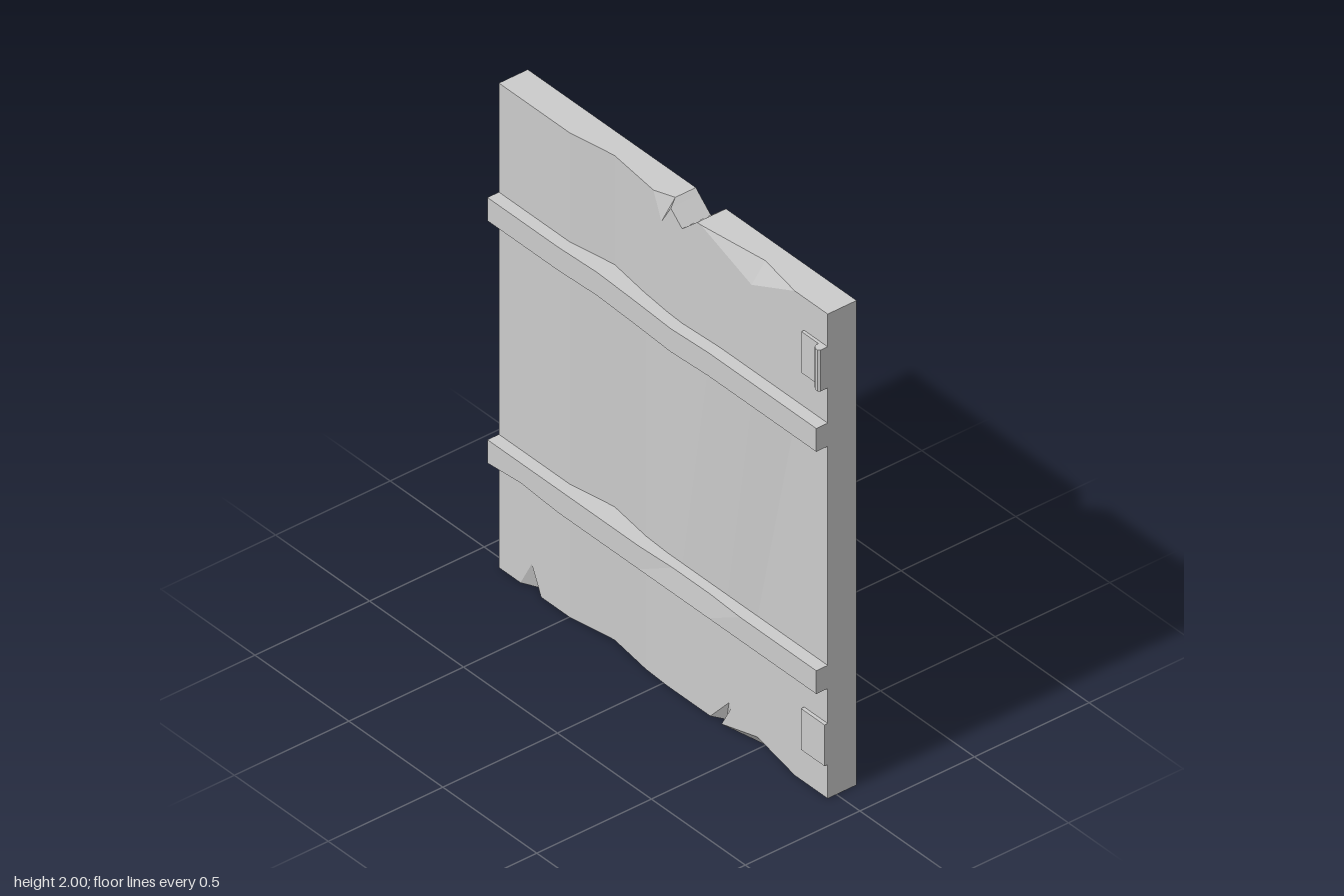
import * as THREE from 'three';

const material = new THREE.MeshStandardMaterial({ color: 0xcccccc, flatShading: true, side: THREE.DoubleSide });
const FRONT = 0.038, BACK = -0.088;

// Joins closed sections (lists of [x, y, z]) from -x to +x and caps both ends.
function loft(sections) {
  const pos = [];
  const tri = (...p) => p.forEach((v) => pos.push(...v));
  const n = sections[0].length;
  for (let i = 0; i < sections.length - 1; i++) {
    for (let j = 0; j < n; j++) {
      const k = (j + 1) % n;
      const a = sections[i][j], b = sections[i][k];
      const c = sections[i + 1][k], d = sections[i + 1][j];
      tri(a, d, c);
      tri(a, c, b);
    }
  }
  const first = sections[0], last = sections[sections.length - 1];
  for (let j = 1; j < n - 1; j++) {
    tri(first[0], first[j], first[j + 1]);
    tri(last[0], last[j + 1], last[j]);
  }
  const geo = new THREE.BufferGeometry();
  geo.setAttribute('position', new THREE.Float32BufferAttribute(pos, 3));
  geo.computeVertexNormals();
  return geo;
}

// Worn slab: each column has its mid x, plus chips at the bottom and top edges.
// chip = { tip: [x, y], depth }; dent pushes the full column back, bulge forward.
const columns = [
  { x: -0.875 },
  { x: -0.76 },
  { x: -0.7, low: { tip: [-0.7, 0.11], depth: 0.03 } },
  { x: -0.65 },
  { x: -0.5 },
  { x: -0.3, dent: 0.033 },
  { x: -0.1, topX: -0.06, dent: 0.006 },
  { x: 0.02, high: { tip: [-0.01, 1.9], depth: 0.036 } },
  { x: 0.04, topY: 1.982 },
  { x: 0.1, topY: 1.93 },
  { x: 0.25, topX: 0.18, bulge: 0.008 },
  { x: 0.3, topX: 0.19, bulge: 0.011, low: { tip: [0.35, 0.11], depth: 0.03 } },
  { x: 0.34, bottomX: 0.31, topX: 0.2, bulge: 0.013, low: { tip: [0.36, 0.09], depth: 0 } },
  { x: 0.5, bulge: 0.022, low: { tip: [0.5, 0.05], depth: 0.038 }, high: { tip: [0.47, 1.9], depth: 0.036 } },
  { x: 0.7 },
  { x: 0.875 },
];

function slabSection({ x, bottomX = x, topX = x, topY = 2, dent = 0, bulge = 0, low, high }) {
  const z = FRONT - dent;
  return [
    [bottomX, 0, BACK],
    [bottomX, 0, z - (low ? low.depth : 0)],
    low ? [...low.tip, z] : [bottomX, 0, z],
    [x, 0.54, z],
    [x, 1.46, z + bulge],
    [x, 1.54, z],
    high ? [...high.tip, z] : [topX, topY, z],
    [topX, topY, z - (high ? high.depth : 0)],
    [topX, topY, BACK],
  ];
}

// Cross band: stations of [x, sag, top edge recess, bottom edge recess, bottom chip].
function band(y, stations) {
  return loft(stations.map(([x, sag, top, bottom, chip]) => [
    [x, y - 0.048 - sag, 0],
    [x, y - 0.048 - sag + chip, 0.088 - bottom],
    [x, y + 0.048 - sag, 0.088 - top],
    [x, y + 0.048 - sag, 0],
  ]));
}

export function createModel() {
  const group = new THREE.Group();
  const add = (name, geometry) => {
    const mesh = new THREE.Mesh(geometry, material);
    mesh.name = name;
    group.add(mesh);
    return mesh;
  };

  add('slab', loft(columns.map(slabSection)));

  add('upperBand', band(1.502, [
    [-0.875, 0, 0, 0, 0],
    [-0.5, 0, 0, 0, 0],
    [-0.3, 0, 0.008, 0.008, 0],
    [-0.08, 0, 0, 0, 0],
    [0.1, 0.01, 0, 0, 0],
    [0.3, 0, 0, 0, 0],
    [0.875, 0, 0, 0, 0],
  ]));

  add('lowerBand', band(0.502, [
    [-0.875, 0, 0, 0, 0],
    [-0.7, 0, 0, 0, 0.014],
    [-0.5, 0, 0, 0, 0],
    [-0.07, 0, 0, 0, 0],
    [0.1, 0, 0.008, 0, 0],
    [0.3, 0, 0.008, 0, 0],
    [0.47, 0, 0, 0, 0],
    [0.875, 0, 0, 0, 0],
  ]));

  // Upper hinge: flat leaf with a rolled knuckle at the slab's edge
  const profile = new THREE.Shape([
    [0.75, 0.02], [0.875, 0.02], [0.875, 0.07], [0.868, 0.077], [0.855, 0.077],
    [0.845, 0.07], [0.84, 0.06], [0.84, 0.05], [0.75, 0.05],
  ].map(([x, z]) => new THREE.Vector2(x, z)));
  const hinge = new THREE.ExtrudeGeometry(profile, { depth: 0.17, bevelEnabled: false });
  hinge.rotateX(Math.PI / 2);
  add('upperHinge', hinge).position.y = 1.865;

  // Lower hinge: the leaf only
  add('lowerHinge', new THREE.BoxGeometry(0.125, 0.17, 0.03)).position.set(0.8125, 0.225, 0.037);

  return group;
}
